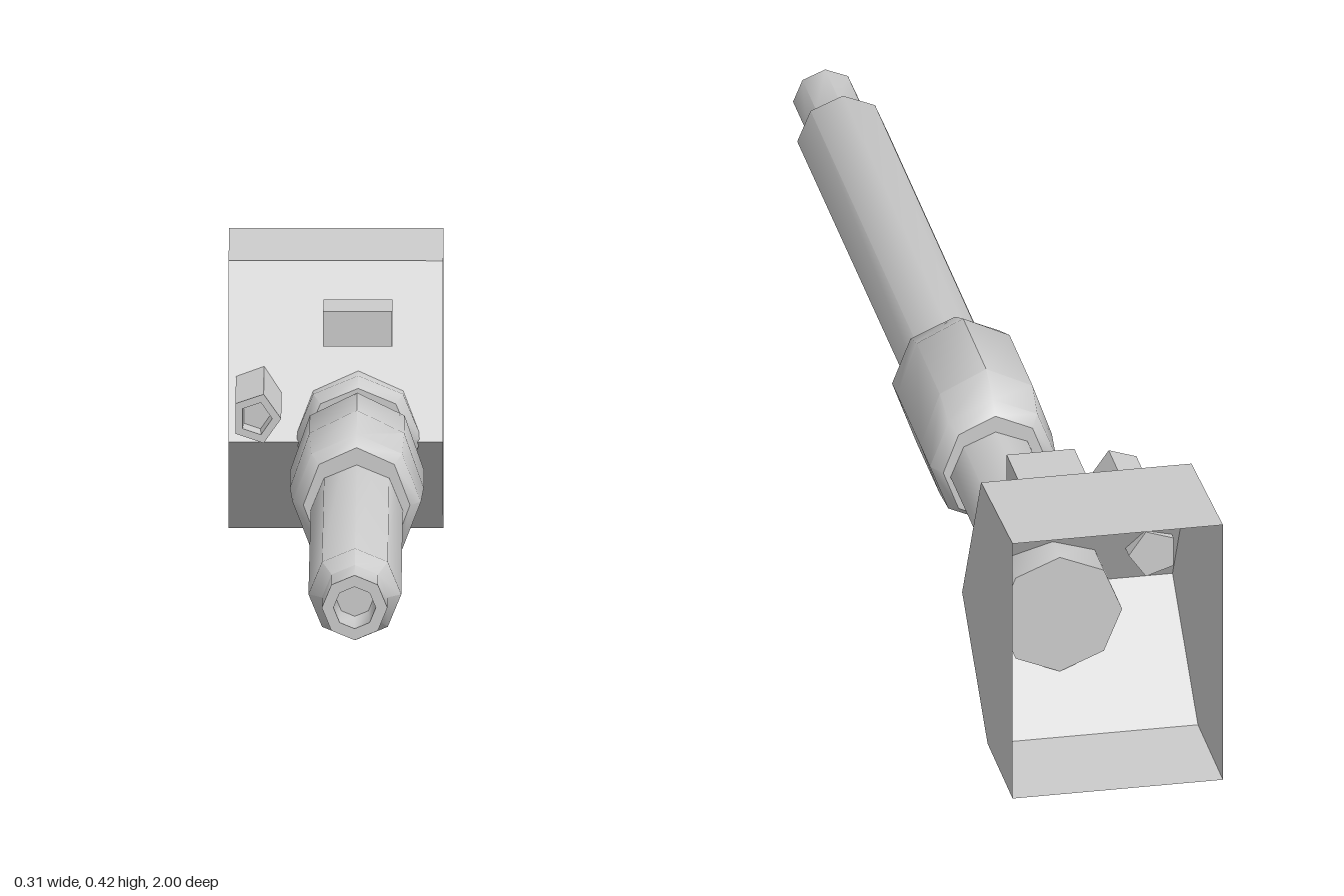
import * as THREE from 'three';
import { toCreasedNormals } from 'three/addons/utils/BufferGeometryUtils.js';

const material = new THREE.MeshStandardMaterial({ color: 0xcccccc, side: THREE.DoubleSide });

function addMesh(group, name, geometry) {
  const mesh = new THREE.Mesh(geometry, material);
  mesh.name = name;
  group.add(mesh);
  return mesh;
}

// Skin over elliptical rings along z, listed back to front: [z, radiusX, radiusY, centreY]
function loft(rings, sides, centreX, phase) {
  const point = ([z, rx, ry, cy], j) => {
    const a = phase + (j / sides) * Math.PI * 2;
    return [centreX + rx * Math.cos(a), cy + ry * Math.sin(a), z];
  };
  const positions = [];
  for (let i = 0; i < rings.length - 1; i++) {
    const [back, front] = [rings[i], rings[i + 1]];
    for (let j = 0; j < sides; j++) {
      const a = point(back, j), b = point(back, j + 1);
      const c = point(front, j + 1), d = point(front, j);
      if (back[1] > 0) positions.push(...a, ...b, ...c);
      if (front[1] > 0) positions.push(...a, ...c, ...d);
      else if (back[1] === 0) continue;
    }
  }
  const geometry = new THREE.BufferGeometry();
  geometry.setAttribute('position', new THREE.Float32BufferAttribute(positions, 3));
  return toCreasedNormals(geometry, 0.85);
}

// Side profile in [z, y] extruded across x
function sideExtrude(profile, x0, x1) {
  const shape = new THREE.Shape(profile.map(([z, y]) => new THREE.Vector2(-z, y)));
  return new THREE.ExtrudeGeometry(shape, { depth: x1 - x0, bevelEnabled: false })
    .rotateY(Math.PI / 2)
    .translate(x0, 0, 0);
}

// Drops the faces lying in the rear plane so the housing is an open shell
function openBack(geometry, z) {
  const p = geometry.attributes.position;
  const kept = [];
  for (let i = 0; i < p.count; i += 3) {
    const corners = [i, i + 1, i + 2];
    if (corners.every((k) => Math.abs(p.getZ(k) - z) < 1e-4)) continue;
    for (const k of corners) kept.push(p.getX(k), p.getY(k), p.getZ(k));
  }
  const open = new THREE.BufferGeometry();
  open.setAttribute('position', new THREE.Float32BufferAttribute(kept, 3));
  open.computeVertexNormals();
  return open;
}

export function createModel() {
  const group = new THREE.Group();
  group.name = 'gunAndMantlet';
  const axisX = 0.033, axisY = 0.16, up = Math.PI / 2;
  const round = (list) => list.map(([z, r]) => [z, r, r, axisY]);

  // Wedge-fronted mantlet, open at the rear
  const mantlet = sideExtrude(
    [[-1, 0], [-0.815, 0], [-0.627, 0.156], [-0.767, 0.403], [-1, 0.416]], -0.157, 0.157);
  addMesh(group, 'mantlet', openBack(mantlet, -1));

  // Barrel with stepped muzzle and bore
  addMesh(group, 'barrel', loft(round([
    [-0.7, 0.067], [0.87, 0.068], [0.9, 0.048], [1, 0.048],
    [1, 0.031], [0.9, 0.028], [0.9, 0],
  ]), 8, axisX, up));

  // Fume extractor sleeve, bulging upward
  addMesh(group, 'sleeve', loft([
    [-0.26, 0.06, 0.06, 0.16],
    [-0.26, 0.078, 0.085, 0.168],
    [-0.24, 0.094, 0.1, 0.17],
    [-0.19, 0.098, 0.115, 0.181],
    [-0.02, 0.098, 0.115, 0.181],
    [0.04, 0.094, 0.1, 0.17],
    [0.06, 0.078, 0.085, 0.168],
    [0.06, 0.06, 0.06, 0.16],
  ], 8, axisX, up));

  // Collar where the barrel enters the mantlet
  addMesh(group, 'collar', loft(round([
    [-0.735, 0], [-0.735, 0.093], [-0.635, 0.093], [-0.61, 0.078], [-0.61, 0.06],
  ]), 8, axisX, up));

  // Five-sided secondary barrel
  addMesh(group, 'secondaryBarrel', loft([
    [-0.69, 0, 0, 0.223], [-0.69, 0.037, 0.038, 0.223], [-0.415, 0.037, 0.038, 0.223],
    [-0.415, 0.024, 0.025, 0.223], [-0.46, 0.022, 0.023, 0.223], [-0.46, 0, 0, 0.223],
  ], 5, -0.116, 0));

  // Sight housing above the barrel
  addMesh(group, 'sight', sideExtrude(
    [[-0.59, 0.303], [-0.685, 0.303], [-0.707, 0.289], [-0.735, 0.32], [-0.735, 0.335],
      [-0.705, 0.355], [-0.59, 0.355]], -0.018, 0.083));

  return group;
}
